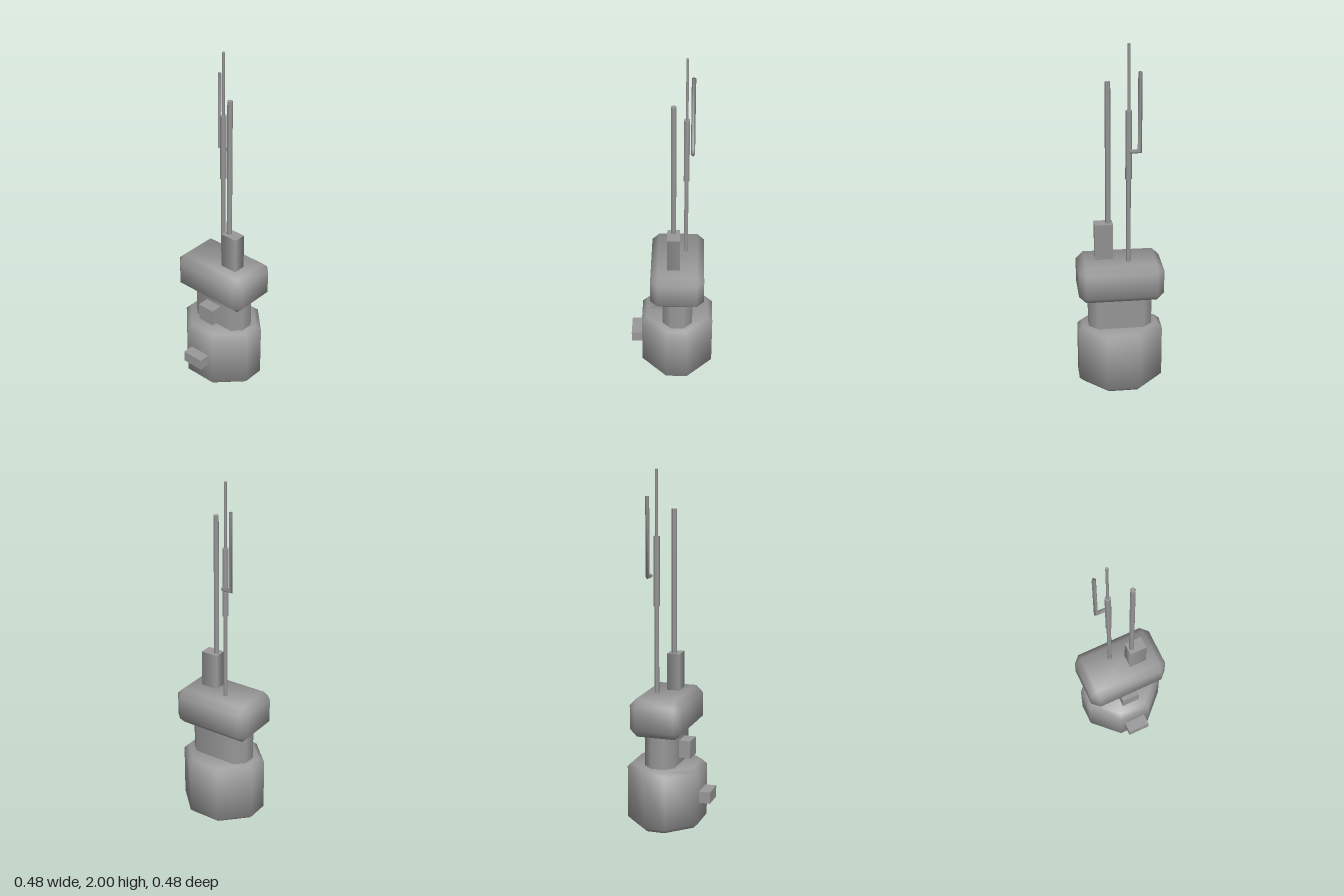
import * as THREE from 'three';

const material = new THREE.MeshStandardMaterial({ color: 0x999999 });

// Skin a closed solid over rings of points. Each point's normal is the plain
// average of the faces round it; the caps take part only if smoothCaps is set.
function loft(rings, smoothCaps) {
  const n = rings[0].length, points = rings.flat(), faces = [], index = [], sums = new Map();
  for (let k = 0; k < rings.length - 1; k++) {
    for (let i = 0; i < n; i++) {
      const a = k * n + i, b = k * n + (i + 1) % n;
      faces.push([a, a + n, b + n, b]);
    }
  }
  const ring = [...Array(n).keys()];
  const caps = [ring, ring.map(i => points.length - 1 - i)];
  const smooth = smoothCaps ? [...faces, ...caps] : faces;
  for (const face of smooth) {
    const [p, q, r, s] = [0, 1, 2, 3].map(j => new THREE.Vector3(...points[face[j * face.length / 4]]));
    const normal = r.sub(p).cross(s.sub(q)).normalize();
    for (const key of new Set(face.map(i => points[i].join()))) {
      sums.set(key, (sums.get(key) ?? new THREE.Vector3()).add(normal));
    }
  }
  for (const face of [...faces, ...caps]) {
    for (let i = 1; i < face.length - 1; i++) index.push(face[0], face[i], face[i + 1]);
  }
  const normals = points.flatMap(p => sums.get(p.join()).clone().normalize().toArray());
  const g = new THREE.BufferGeometry();
  g.setAttribute('position', new THREE.Float32BufferAttribute(points.flat(), 3));
  g.setAttribute('normal', new THREE.Float32BufferAttribute(normals, 3));
  g.setIndex(index);
  return g;
}

// Rectangle with cut corners, half sizes w and d, cut c
function octagon(y, cz, w, d, c) {
  return [[w, c - d], [w, d - c], [w - c, d], [c - w, d], [-w, d - c], [-w, c - d], [c - w, -d], [w - c, -d]]
    .map(([x, z]) => [x, y, z + cz]);
}

// Cut-corner block with a bevel round its top and bottom
function block(y0, y1, cz, w, d, c, bevel, innerCut) {
  const cap = y => octagon(y, cz, w - bevel, d - bevel, innerCut);
  return loft([cap(y0), octagon(y0 + bevel, cz, w, d, c), octagon(y1 - bevel, cz, w, d, c), cap(y1)], true);
}

function box(x0, x1, y0, y1, z0, z1) {
  return new THREE.BoxGeometry(x1 - x0, y1 - y0, z1 - z0)
    .translate((x0 + x1) / 2, (y0 + y1) / 2, (z0 + z1) / 2);
}

// Six-sided upright rod
function rod(x, z, r, y0, y1) {
  return new THREE.CylinderGeometry(r, r, y1 - y0, 6)
    .rotateY(Math.PI / 6).translate(x, (y0 + y1) / 2, z);
}

export function createModel() {
  const group = new THREE.Group();
  const add = (name, geometry) => {
    const mesh = new THREE.Mesh(geometry, material);
    mesh.name = name;
    group.add(mesh);
  };

  // Stacked body
  add('base', block(0, 0.358, -0.032, 0.24, 0.208, 0.146, 0.028, 0.13));
  add('neck', loft([0.34, 0.56].map(y => octagon(y, -0.034, 0.18, 0.087, 0.05)), false));
  add('head', block(0.543, 0.762, -0.033, 0.24, 0.152, 0.041, 0.041, 0));

  // Boxes fixed to the body
  add('baseBox', box(-0.065, 0.066, 0.147, 0.213, 0.15, 0.24));
  add('neckBox', box(-0.053, 0.054, 0.396, 0.497, 0.03, 0.12));

  // Four-sided mast foot, shaded smoothly round its sides
  add('mastFoot', new THREE.CylinderGeometry(Math.SQRT1_2, Math.SQRT1_2, 0.23, 4)
    .rotateY(Math.PI / 4).scale(0.102, 1, 0.072).translate(0.088, 0.857, -0.011));

  // Plain mast and stepped antenna
  add('mast', rod(0.062, -0.011, 0.0155, 0.96, 1.782));
  add('antennaLower', rod(-0.044, -0.079, 0.013, 0.75, 1.26));
  add('antennaSleeve', rod(-0.044, -0.079, 0.018, 1.253, 1.64));
  add('antennaTip', rod(-0.044, -0.079, 0.008, 1.63, 2));

  // Mitred side arm with a diamond section
  const r = 0.0115;
  const diamond = (x, y, ux, uy) => [[1, 0], [0, 1], [-1, 0], [0, -1]]
    .map(([u, v]) => [x + u * ux * r, y + u * uy * r, -0.112 + v * r]);
  add('antennaSideArm', loft([
    diamond(-0.044, 1.422, 0, 1),
    diamond(-0.1, 1.422, 1, 1),
    diamond(-0.1, 1.857, 1, 0),
  ], false));

  return group;
}
